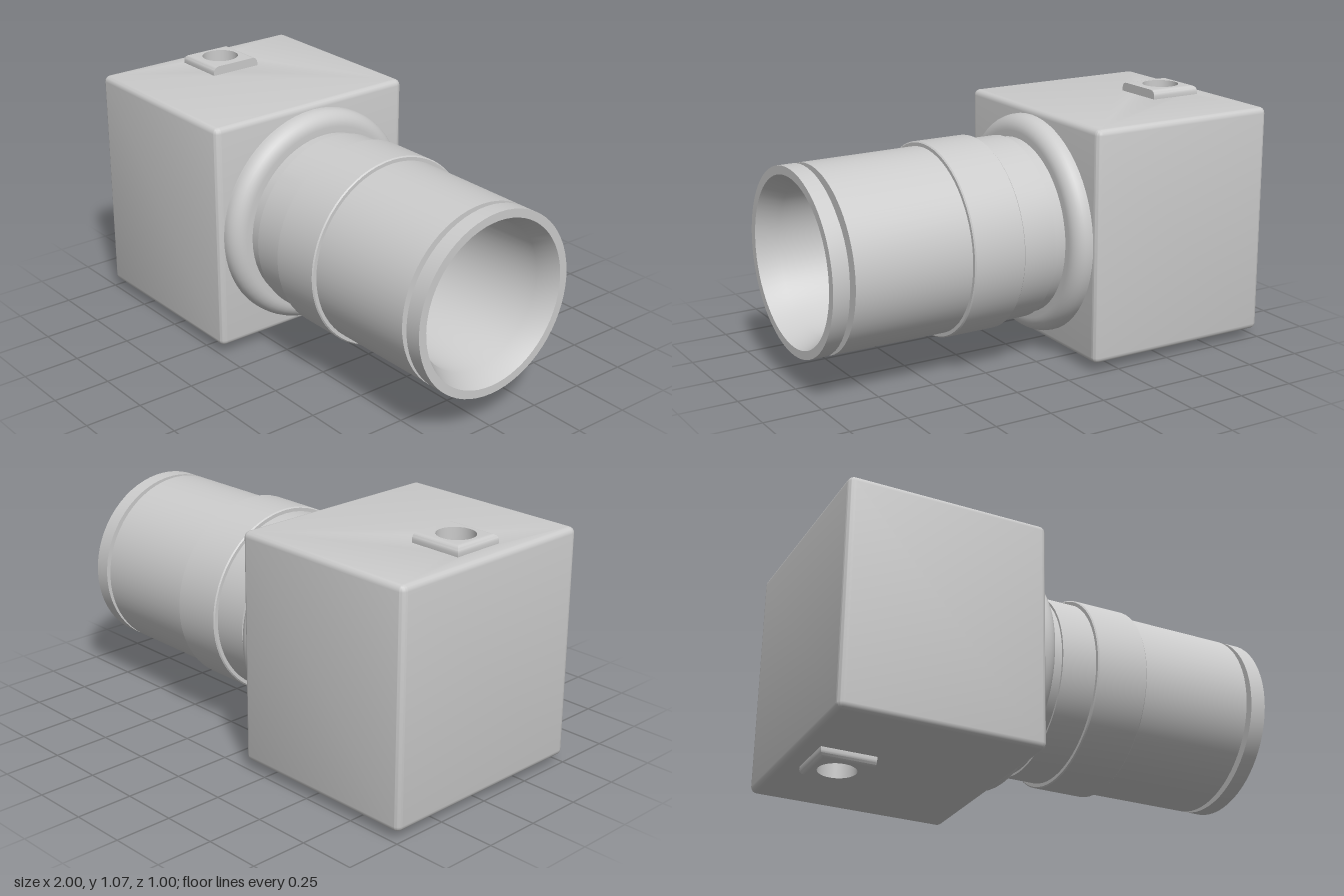
import * as THREE from 'three';
import { toCreasedNormals } from 'three/addons/utils/BufferGeometryUtils.js';

const AXIS_Y = 0.537;
const material = new THREE.MeshStandardMaterial({ color: 0xcccccc });
const boreMaterial = new THREE.MeshStandardMaterial({ color: 0xcccccc, side: THREE.DoubleSide });

function mesh(name, geometry, mat = material) {
  const m = new THREE.Mesh(geometry, mat);
  m.name = name;
  return m;
}

// Surface of revolution about the x axis, from [x, radius] pairs
function turned(name, pairs) {
  const g = new THREE.LatheGeometry(pairs.map(([x, r]) => new THREE.Vector2(r, x)), 64);
  g.rotateZ(-Math.PI / 2);
  return mesh(name, toCreasedNormals(g, 0.5));
}

function roundedRect(x0, x1, z0, z1, r) {
  const s = new THREE.Shape();
  s.moveTo(x0 + r, z0);
  s.lineTo(x1 - r, z0);
  s.absarc(x1 - r, z0 + r, r, -Math.PI / 2, 0);
  s.lineTo(x1, z1 - r);
  s.absarc(x1 - r, z1 - r, r, 0, Math.PI / 2);
  s.lineTo(x0 + r, z1);
  s.absarc(x0 + r, z1 - r, r, Math.PI / 2, Math.PI);
  s.lineTo(x0, z0 + r);
  s.absarc(x0 + r, z0 + r, r, Math.PI, Math.PI * 1.5);
  return s;
}

function addHole(shape, x, r) {
  const h = new THREE.Path();
  h.absarc(x, 0, r, 0, Math.PI * 2, true);
  shape.holes.push(h);
}

// Upright prism with rounded top and bottom edges
function prism(shape, y0, y1, bevel) {
  const g = new THREE.ExtrudeGeometry(shape, {
    depth: y1 - y0 - 2 * bevel, bevelEnabled: true, bevelThickness: bevel,
    bevelSize: bevel, bevelOffset: -bevel, bevelSegments: 4, curveSegments: 12,
  });
  g.rotateX(-Math.PI / 2);
  g.translate(0, y0 + bevel, 0);
  return g;
}

const HOLE_X = -0.805, HOLE_R = 0.08, HALF = 0.498;

// Mounting pad: rounded on three sides, cut square on the fourth, with a blind hole
function mount(name) {
  const group = new THREE.Group();
  group.name = name;
  const b = 0.025, xMax = -0.685;
  const shape = new THREE.Shape([
    [-0.92, -0.118], [xMax + b, -0.118], [xMax + b, 0.118], [-0.92, 0.118],
  ].map(([x, z]) => new THREE.Vector2(x, z)));
  addHole(shape, HOLE_X, 0.06);
  const g = prism(shape, HALF - 0.03, AXIS_Y, b);
  const p = g.attributes.position;
  for (let i = 0; i < p.count; i++) {
    const dx = p.getX(i) - HOLE_X, z = p.getZ(i), d = Math.hypot(dx, z);
    if (d < 0.088) { // straighten the hole wall
      p.setX(i, HOLE_X + dx * HOLE_R / d);
      p.setZ(i, z * HOLE_R / d);
    }
    p.setX(i, Math.min(p.getX(i), xMax));
  }
  group.add(mesh('mountPad', toCreasedNormals(g, 0.6)));

  const depth = 0.2;
  const bore = new THREE.CylinderGeometry(HOLE_R, HOLE_R, depth, 32, 1, true);
  bore.translate(HOLE_X, AXIS_Y - 0.003 - depth / 2, 0);
  const floor = new THREE.CircleGeometry(HOLE_R, 32);
  floor.rotateX(-Math.PI / 2);
  floor.translate(HOLE_X, AXIS_Y - 0.003 - depth, 0);
  group.add(mesh('mountBore', bore, boreMaterial), mesh('mountBoreFloor', floor, boreMaterial));
  return group;
}

export function createModel() {
  const root = new THREE.Group();
  root.name = 'boxCamera';
  const model = new THREE.Group();
  model.name = 'cameraAssembly';
  model.position.y = AXIS_Y;
  root.add(model);

  // Housing with openings for the mounting holes
  const housing = roundedRect(-1, -0.13, -HALF, HALF, 0.028);
  addHole(housing, HOLE_X, 0.085);
  model.add(mesh('housing', toCreasedNormals(prism(housing, -HALF, HALF, 0.025), 0.6)));

  // Mounting pads above and below
  const top = mount('topMount');
  const bottom = mount('bottomMount');
  bottom.rotation.x = Math.PI;
  model.add(top, bottom);

  // Rounded flange where the lens meets the housing
  const flange = [[-0.15, 0.473]];
  for (let i = 0; i <= 8; i++) {
    const a = (i / 8) * Math.PI / 2;
    flange.push([-0.12 + 0.065 * Math.sin(a), 0.408 + 0.065 * Math.cos(a)]);
  }
  flange.push([-0.055, 0.36]);
  model.add(turned('flange', flange));

  // Lens barrel: neck, grip ring, groove, front lip and hollow interior
  model.add(turned('lensBarrel', [
    [-0.08, 0.38], [0, 0.383], [0, 0.393],
    [0.155, 0.393], [0.155, 0.408], [0.16, 0.413], [0.385, 0.413], [0.39, 0.408], [0.39, 0.393],
    [0.905, 0.391], [0.905, 0.34], [0.93, 0.34], [0.93, 0.391], [1, 0.391],
    [1, 0.355], [0.91, 0.315], [0.28, 0.315], [0.28, 0.303],
    [0.26, 0.303], [0.26, 0.276], [0.23, 0.264], [0.2, 0.264],
  ]));

  // Domed front glass
  const dome = [];
  for (let i = 0; i <= 10; i++) {
    const t = i / 10;
    dome.push([0.23 + 0.07 * (1 - (1 - t) ** 2), 0.264 * (1 - t)]);
  }
  model.add(turned('lensGlass', dome));
  return root;
}
